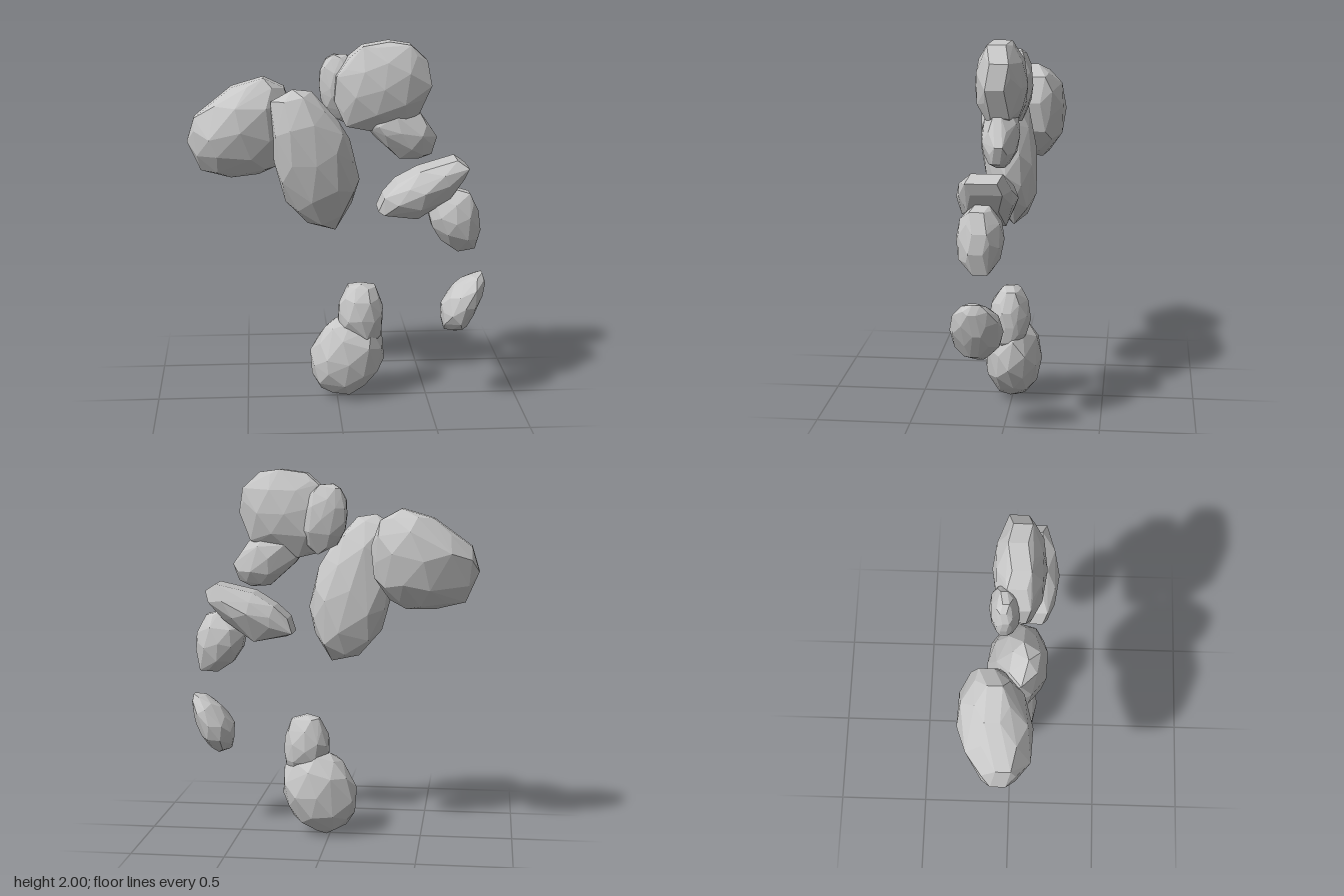
import * as THREE from 'three';
import { ConvexGeometry } from 'three/addons/geometries/ConvexGeometry.js';

const stone = new THREE.MeshStandardMaterial({ color: 0xc8c8c8 });
stone.name = 'light grey stone';

// A faceted boulder: an outline (x, y pairs) swelling to half depth h about z,
// with its middle plane leaning by sx and sy. A blunt boulder has a wide rim.
function rock(name, z, h, sx, sy, blunt, outline) {
  const rim = [];
  for (let i = 0; i < outline.length; i += 2) rim.push(new THREE.Vector2(outline[i], outline[i + 1]));
  const box = new THREE.Box2().setFromPoints(rim);
  const c = box.getCenter(new THREE.Vector2());
  const points = [];
  const add = (p, scale, depth) => {
    const dx = (p.x - c.x) * scale, dy = (p.y - c.y) * scale;
    points.push(new THREE.Vector3(c.x + dx, c.y + dy, z + depth * h + sx * dx + sy * dy));
  };
  rim.forEach((p, i) => {
    const mid = p.clone().lerp(rim[(i + 1) % rim.length], 0.5);
    const zig = i % 2 ? 0.08 : -0.08;
    add(p, 1, zig + blunt);
    if (blunt) add(p, 1, zig - blunt);
    for (const side of [-1, 1]) {
      add(mid, 0.93, side * 0.45 + zig / 2);
      if (i % 2 === (side > 0 ? 0 : 1)) add(p, 0.58, side * 0.84);
    }
  });
  add(c, 0, 1);
  add(c, 0, -1);
  const mesh = new THREE.Mesh(new ConvexGeometry(points), stone);
  mesh.name = name;
  return mesh;
}

export function createModel() {
  const group = new THREE.Group();
  group.name = 'floatingBoulders';
  group.add(
    // Two large boulders
    rock('sideBoulder', -0.065, 0.19, -0.13, 0, 0.2, [
      -0.8, 1.47, -0.76, 1.6, -0.56, 1.75, -0.39, 1.8, -0.28, 1.74, -0.23, 1.6,
      -0.25, 1.44, -0.33, 1.32, -0.42, 1.275, -0.57, 1.27, -0.73, 1.31]),
    rock('longBoulder', 0.033, 0.152, 0, 0.12, 0, [
      -0.355, 1.69, -0.24, 1.76, -0.14, 1.745, 0, 1.59, 0.065, 1.48, 0.118, 1.26,
      0.08, 1.12, -0.01, 0.97, -0.16, 1.005, -0.28, 1.14, -0.34, 1.36]),
    // Top cluster
    rock('topBoulder', 0.037, 0.137, 0, 0, 0.35, [
      -0.02, 1.69, -0.01, 1.82, 0.06, 1.92, 0.13, 1.98, 0.27, 2, 0.38, 1.985,
      0.47, 1.9, 0.493, 1.77, 0.43, 1.62, 0.36, 1.585, 0.17, 1.53, 0.04, 1.56]),
    rock('backStone', -0.03, 0.08, 0, 0, 0.2, [
      -0.095, 1.76, -0.09, 1.84, -0.06, 1.9, -0.02, 1.925, 0.05, 1.92, 0.12, 1.86,
      0.17, 1.75, 0.15, 1.62, 0.06, 1.55, -0.04, 1.6, -0.085, 1.68]),
    rock('underStone', 0.032, 0.1, 0, 0, 0.2, [
      0.13, 1.58, 0.18, 1.65, 0.29, 1.68, 0.43, 1.635, 0.53, 1.49, 0.5, 1.4,
      0.43, 1.37, 0.33, 1.375, 0.19, 1.5]),
    // Arc of smaller stones
    rock('slantedStone', 0.088, 0.16, -0.03, 0, 0.5, [
      0.21, 1.11, 0.24, 1.19, 0.31, 1.26, 0.43, 1.33, 0.63, 1.38, 0.69, 1.34,
      0.67, 1.28, 0.59, 1.18, 0.42, 1.065, 0.24, 1.095]),
    rock('roundStone', 0.105, 0.122, 0, 0, 0.3, [
      0.48, 1.1, 0.51, 1.18, 0.62, 1.22, 0.7, 1.2, 0.75, 1.1, 0.76, 1,
      0.735, 0.89, 0.64, 0.88, 0.55, 0.94, 0.5, 1.02]),
    rock('lowerStone', 0.12, 0.137, 0, 0, 0.15, [
      0.56, 0.5, 0.56, 0.58, 0.63, 0.68, 0.72, 0.74, 0.78, 0.75, 0.795, 0.7,
      0.77, 0.58, 0.7, 0.45, 0.64, 0.42, 0.575, 0.44]),
    // Bottom pair
    rock('perchedStone', 0.005, 0.115, 0, -0.02, 0.2, [
      0.005, 0.46, 0.01, 0.55, 0.06, 0.65, 0.13, 0.665, 0.21, 0.645, 0.25, 0.54,
      0.25, 0.46, 0.24, 0.37, 0.18, 0.29, 0.04, 0.36]),
    rock('baseBoulder', -0.007, 0.158, 0, 0, 0, [
      -0.15, 0.27, -0.07, 0.41, 0, 0.46, 0.14, 0.47, 0.25, 0.38, 0.262, 0.22,
      0.2, 0.1, 0.11, 0.03, 0.02, 0, -0.09, 0.05, -0.14, 0.13]),
  );
  return group;
}
